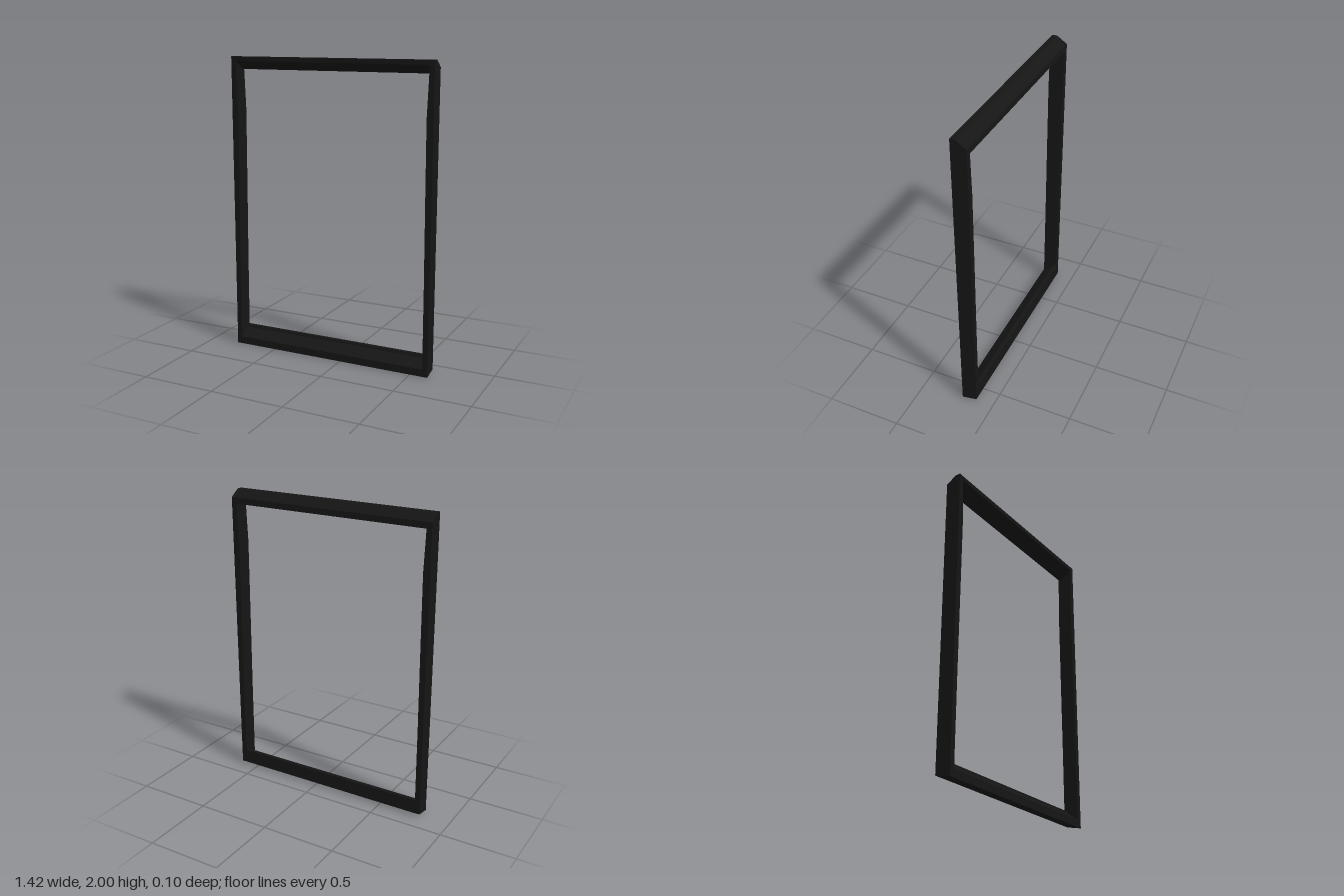
import * as THREE from 'three';

const LEFT = 0.62, RIGHT = -0.8, FRONT = 0.717, BACK = 0.615;
const material = new THREE.MeshStandardMaterial({ color: 0x151515 });

const shapeOf = (points) => new THREE.Shape(points.map(([x, y]) => new THREE.Vector2(x, y)));

// Horizontal rail: a (z, y) cross-section swept along x between the uprights
function rail(name, section) {
  const length = LEFT - RIGHT - 0.03;
  const geometry = new THREE.ExtrudeGeometry(shapeOf(section), { depth: length, bevelEnabled: false });
  geometry.rotateY(-Math.PI / 2).translate(LEFT - 0.015, 0, 0);
  const mesh = new THREE.Mesh(geometry, material);
  mesh.name = name;
  return mesh;
}

// Upright: straight outside, slightly bowed inside, ends cut to the rail slopes
function upright(name, outerX, inward) {
  const outline = [
    [0, 0], [0.035, 0], [0.035, 0.11], [0.037, 0.6], [0.042, 1.2],
    [0.045, 1.65], [0.035, 1.91], [0.035, 2], [0, 2],
  ].map(([x, y]) => [outerX + inward * x, y]);
  const geometry = new THREE.ExtrudeGeometry(shapeOf(outline), {
    depth: FRONT - BACK, steps: 3, bevelEnabled: false,
  });
  geometry.translate(0, 0, BACK);
  const p = geometry.attributes.position;
  for (let i = 0; i < p.count; i++) {
    const z = p.getZ(i);
    const top = 2 - Math.max(0, 0.683 - z) * 0.66;
    const bottom = (FRONT - z) * 0.2;
    p.setY(i, THREE.MathUtils.clamp(p.getY(i), bottom, top));
  }
  geometry.computeVertexNormals();
  const mesh = new THREE.Mesh(geometry, material);
  mesh.name = name;
  return mesh;
}

export function createModel() {
  const frame = new THREE.Group();
  frame.name = 'frame';
  frame.add(
    upright('leftUpright', LEFT, -1),
    upright('rightUpright', RIGHT, 1),
    // Top rail: sloped top at the back and a slanting underside
    rail('topRail', [
      [FRONT, 2], [0.683, 2], [BACK, 1.955], [BACK, 1.915], [0.635, 1.915], [FRONT, 1.97],
    ]),
    // Bottom rail: sloping sill with a small raised lip at the back
    rail('bottomRail', [
      [FRONT, 0], [FRONT, 0.05], [0.645, 0.1], [0.64, 0.117], [BACK, 0.117], [BACK, 0.02],
    ]),
  );
  return frame;
}
